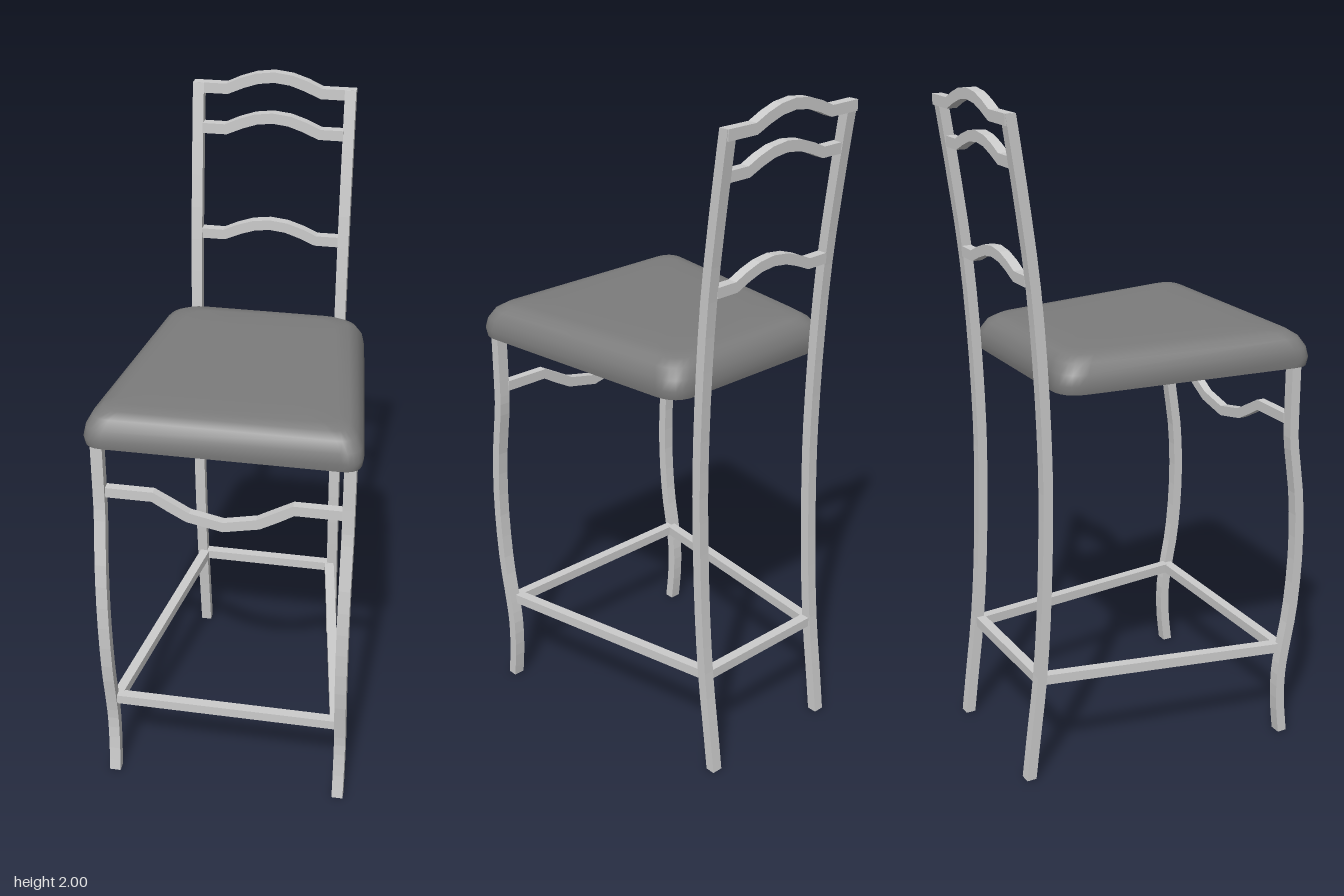
import * as THREE from 'three';

const frameMat = new THREE.MeshStandardMaterial({ color: 0xcccccc });
const seatMat = new THREE.MeshStandardMaterial({ color: 0x7c7c7c });

// Bar of rectangular section: a 2D centreline thickened, then extruded symmetrically in depth
function barGeometry(pts, thickness, depth) {
  const last = pts.length - 1;
  const sides = [[], []];
  pts.forEach((p, i) => {
    const t = pts[Math.min(i + 1, last)].clone().sub(pts[Math.max(i - 1, 0)]).normalize();
    // ends are cut square to the main axis
    if (i === 0 || i === last) {
      if (Math.abs(t.y) > Math.abs(t.x)) t.set(0, Math.sign(t.y));
      else t.set(Math.sign(t.x), 0);
    }
    const n = new THREE.Vector2(-t.y, t.x).multiplyScalar(thickness / 2);
    sides[0].push(p.clone().add(n));
    sides[1].push(p.clone().sub(n));
  });
  const shape = new THREE.Shape([...sides[1], ...sides[0].reverse()]);
  const geo = new THREE.ExtrudeGeometry(shape, { depth, bevelEnabled: false });
  return geo.translate(0, 0, -depth / 2);
}

const vectors = (list) => list.map(([a, b]) => new THREE.Vector2(a, b));

function addMesh(group, name, geo, mat = frameMat) {
  const mesh = new THREE.Mesh(geo, mat);
  mesh.name = name;
  group.add(mesh);
  return mesh;
}

// Pair of curved legs, profile given as [z, y]
function addLegs(group, name, profile, x, width) {
  const pts = new THREE.SplineCurve(vectors(profile)).getPoints(22);
  const geo = barGeometry(pts, 0.03, width).rotateY(-Math.PI / 2);
  for (const side of [1, -1]) {
    addMesh(group, (side > 0 ? 'left' : 'right') + name, geo).position.x = side * x;
  }
}

// Crosswise rail, right half given as [x, y] from the middle outwards and mirrored
function addRail(group, name, half, z, depth) {
  const mirrored = half.slice(1).reverse().map(([x, y]) => [-x, y]);
  addMesh(group, name, barGeometry(vectors([...mirrored, ...half]), 0.031, depth)).position.z = z;
}

// Straight square bar between two points
function addStretcher(group, name, a, b) {
  const from = new THREE.Vector3(...a), to = new THREE.Vector3(...b);
  const mesh = addMesh(group, name, new THREE.BoxGeometry(0.03, 0.03, from.distanceTo(to)));
  mesh.position.copy(from).add(to).multiplyScalar(0.5);
  mesh.lookAt(to);
}

// Rounded trapezoid outline of the cushion, as [x, z] points, shrunk by an inset
function cushionRing(inset) {
  const corners = vectors([
    [0.392 - inset, -0.447 + inset], [0.304 - inset, 0.328 - inset],
    [-0.304 + inset, 0.328 - inset], [-0.392 + inset, -0.447 + inset],
  ]);
  const ring = [];
  corners.forEach((c, i) => {
    const r = i === 1 || i === 2 ? 0.075 : 0.06;
    const toward = (o) => c.clone().add(o.clone().sub(c).setLength(r));
    const start = toward(corners[(i + 3) % 4]), end = toward(corners[(i + 1) % 4]);
    ring.push(...new THREE.QuadraticBezierCurve(start, c, end).getPoints(6));
  });
  return ring.map((p) => [p.x, -p.y]);
}

function cushionGeometry() {
  // [inset, height] from the bottom edge to the top; first two share an edge to keep it sharp
  const profile = [[0.004, 1.2], [0.004, 1.2], [0, 1.225], [0.006, 1.255],
    [0.022, 1.283], [0.045, 1.299], [0.08, 1.304], [0.16, 1.306]];
  const pos = [], index = [];
  let n = 0;
  for (const [inset, y] of profile) {
    const ring = cushionRing(inset);
    n = ring.length;
    for (const [x, z] of ring) pos.push(x, y, z);
  }
  const bottom = pos.length / 3, top = bottom + 1;
  pos.push(0, 1.2, 0, 0, 1.307, 0);
  const lastRing = (profile.length - 1) * n;
  for (let i = 0; i < n; i++) {
    const j = (i + 1) % n;
    index.push(bottom, j, i, top, lastRing + i, lastRing + j);
    for (let k = 1; k < profile.length - 1; k++) {
      const a = k * n, b = a + n;
      index.push(a + i, a + j, b + j, a + i, b + j, b + i);
    }
  }
  const geo = new THREE.BufferGeometry();
  geo.setAttribute('position', new THREE.Float32BufferAttribute(pos, 3));
  geo.setIndex(index);
  geo.computeVertexNormals();
  return geo;
}

export function createModel() {
  const stool = new THREE.Group();
  stool.name = 'barStool';

  // Legs; the back pair carries on up as the backrest posts
  addLegs(stool, 'FrontLeg', [[0.4, 0], [0.389, 0.1], [0.388, 0.2], [0.4, 0.29], [0.422, 0.42],
    [0.434, 0.6], [0.428, 0.78], [0.404, 0.95], [0.4, 1.03], [0.4, 1.21]], 0.352, 0.034);
  addLegs(stool, 'BackLeg', [[-0.411, 0], [-0.395, 0.13], [-0.371, 0.32], [-0.354, 0.54], [-0.344, 0.8],
    [-0.343, 1], [-0.352, 1.25], [-0.37, 1.5], [-0.4, 1.74], [-0.432, 1.96]], 0.225, 0.033);

  // Arched backrest rails
  const rails = [['topRail', 1.945, -0.434, 0.24], ['middleRail', 1.83, -0.41, 0.21], ['lowerRail', 1.51, -0.373, 0.21]];
  for (const [name, y, z, end] of rails) {
    addRail(stool, name, [[0, y + 0.041], [0.05, y + 0.035], [0.095, y + 0.02], [0.14, y], [end, y]], z, 0.03);
  }

  // Drooping apron rail under the seat front
  addRail(stool, 'frontApron', [[0, 0.958], [0.1, 0.979], [0.15, 1.007], [0.2, 1.036], [0.338, 1.036]], 0.394, 0.026);

  // Foot-rest ring
  addStretcher(stool, 'frontStretcher', [-0.34, 0.284, 0.393], [0.34, 0.284, 0.393]);
  addStretcher(stool, 'backStretcher', [-0.215, 0.315, -0.366], [0.215, 0.315, -0.366]);
  for (const side of [1, -1]) {
    addStretcher(stool, side > 0 ? 'leftStretcher' : 'rightStretcher',
      [side * 0.335, 0.284, 0.393], [side * 0.215, 0.315, -0.366]);
  }

  // Upholstered seat
  addMesh(stool, 'seatCushion', cushionGeometry(), seatMat);
  return stool;
}
